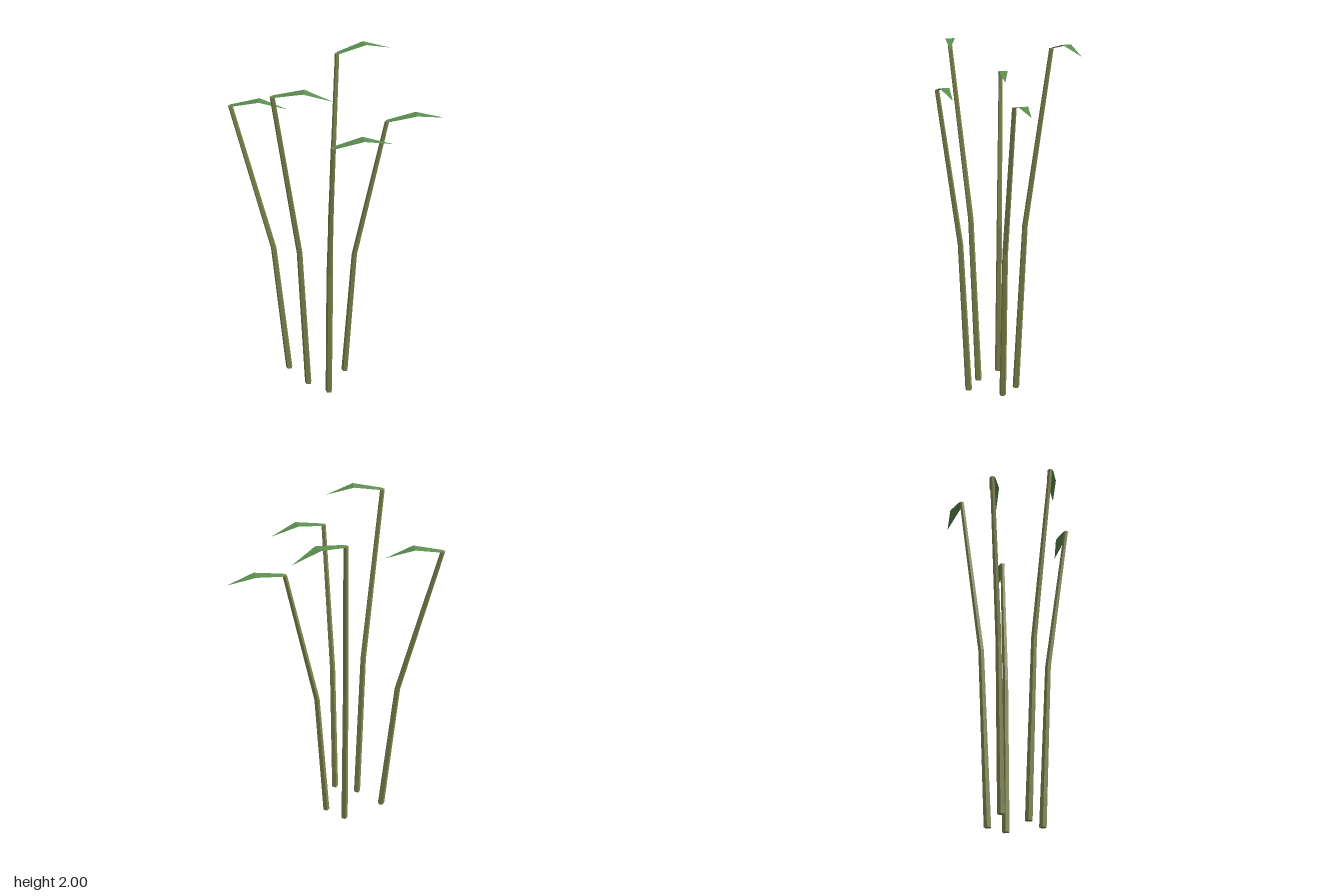
import * as THREE from 'three';

const stemMaterial = new THREE.MeshStandardMaterial({ color: 0x82874f, flatShading: true });
stemMaterial.name = 'olive stem';
const leafMaterial = new THREE.MeshStandardMaterial({ color: 0x5d8f50, flatShading: true, side: THREE.DoubleSide });
leafMaterial.name = 'leaf green';

// Each stalk: stem centres at foot, bend and top; leaf centres at its widest point and tip
const STALKS = [
  { stem: [[-0.295, 0, -0.103], [-0.353, 0.88, -0.13], [-0.535, 1.755, -0.2]], leaf: [[-0.39, 1.788, -0.165], [-0.25, 1.742, -0.13]] },
  { stem: [[-0.203, 0, 0.051], [-0.237, 0.98, 0.08], [-0.358, 1.97, 0.157]], leaf: [[-0.213, 2, 0.196], [-0.078, 1.955, 0.235]] },
  { stem: [[-0.095, 0, 0.145], [-0.094, 0.88, 0.185], [-0.092, 1.745, 0.305]], leaf: [[0.056, 1.778, 0.306], [0.204, 1.736, 0.305]] },
  { stem: [[-0.042, 0, -0.127], [-0.022, 0.98, -0.168], [0.038, 1.957, -0.286]], leaf: [[0.187, 1.99, -0.31], [0.33, 1.943, -0.333]] },
  { stem: [[0.032, 0, -0.02], [0.084, 0.86, -0.015], [0.246, 1.69, -0.006]], leaf: [[0.397, 1.72, 0.003], [0.542, 1.69, 0.012]] },
];

// Five-sided tapering stem, its three rings shifted onto the given centres
function stemGeometry(centres) {
  const geo = new THREE.CylinderGeometry(0.0125, 0.02, 2, 5, 2, false, Math.PI);
  const pos = geo.attributes.position;
  for (let i = 0; i < pos.count; i++) {
    const [x, y, z] = centres[Math.round(pos.getY(i) + 1)];
    pos.setXYZ(i, pos.getX(i) + x, y, pos.getZ(i) + z);
  }
  const flat = geo.toNonIndexed();
  flat.computeVertexNormals();
  return flat;
}

// Flat blade: narrow base, wide middle, pointed tip
function leafGeometry(base, middle, tip) {
  const [b, m, t] = [base, middle, tip].map((p) => new THREE.Vector3(...p));
  const side = new THREE.Vector3(b.z - t.z, 0, t.x - b.x).normalize();
  const edge = (p, w) => p.clone().addScaledVector(side, w);
  const points = [edge(b, 0.015), edge(b, -0.015), edge(m, 0.026), edge(m, -0.026), t];
  const geo = new THREE.BufferGeometry().setFromPoints(points);
  geo.setIndex([0, 2, 1, 1, 2, 3, 2, 4, 3]);
  const flat = geo.toNonIndexed();
  flat.computeVertexNormals();
  return flat;
}

export function createModel() {
  const model = new THREE.Group();
  model.name = 'plant';
  STALKS.forEach(({ stem, leaf }, i) => {
    const stalk = new THREE.Group();
    stalk.name = `stalk${i + 1}`;
    const stemMesh = new THREE.Mesh(stemGeometry(stem), stemMaterial);
    stemMesh.name = 'stem';
    const leafMesh = new THREE.Mesh(leafGeometry(stem[2], ...leaf), leafMaterial);
    leafMesh.name = 'leaf';
    stalk.add(stemMesh, leafMesh);
    model.add(stalk);
  });
  return model;
}
